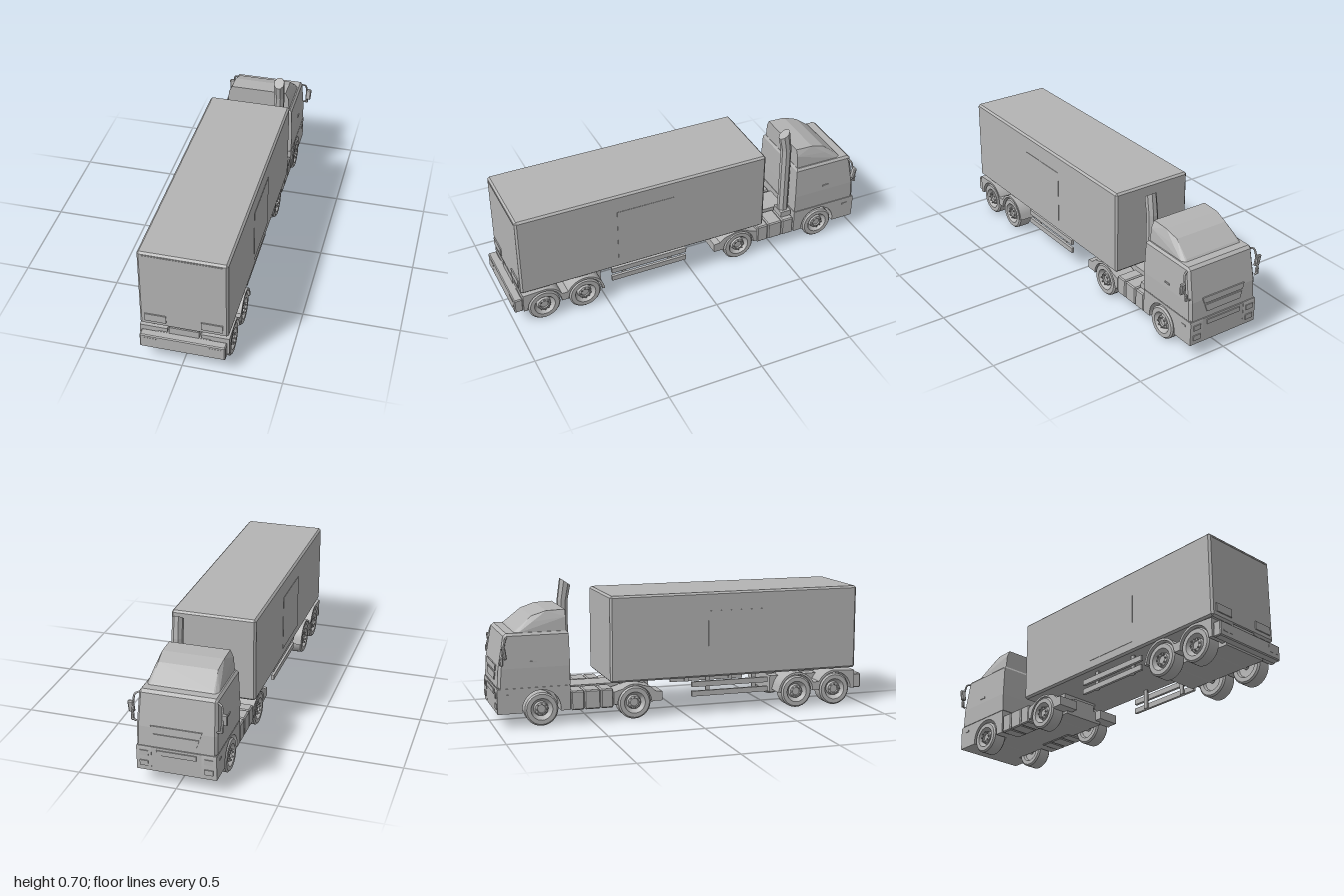
import * as THREE from 'three';
import { toCreasedNormals } from 'three/addons/utils/BufferGeometryUtils.js';
import { ConvexGeometry } from 'three/addons/geometries/ConvexGeometry.js';

const grey = new THREE.MeshStandardMaterial({ color: 0xb4b4b4 });
grey.name = 'plain grey';

function add(parent, name, geometry) {
  const mesh = new THREE.Mesh(geometry, grey);
  mesh.name = name;
  parent.add(mesh);
  return mesh;
}

// Box given by its limits
function box(parent, name, x0, x1, y0, y1, z0, z1) {
  const g = new THREE.BoxGeometry(Math.abs(x1 - x0), y1 - y0, z1 - z0);
  g.translate((x0 + x1) / 2, (y0 + y1) / 2, (z0 + z1) / 2);
  return add(parent, name, g);
}

// Box with chamfered edges
function chamferBox(parent, name, x0, x1, y0, y1, z0, z1, c) {
  const pts = [];
  for (const [x, sx] of [[x0, 1], [x1, -1]])
    for (const [y, sy] of [[y0, 1], [y1, -1]])
      for (const [z, sz] of [[z0, 1], [z1, -1]])
        pts.push(new THREE.Vector3(x, y + sy * c, z + sz * c),
          new THREE.Vector3(x + sx * c, y, z + sz * c),
          new THREE.Vector3(x + sx * c, y + sy * c, z));
  return add(parent, name, new ConvexGeometry(pts));
}

// Convex solid, symmetric in x, from [half width, y, z] points
function hull(parent, name, list) {
  const pts = list.flatMap(([x, y, z]) => [new THREE.Vector3(x, y, z), new THREE.Vector3(-x, y, z)]);
  return add(parent, name, new ConvexGeometry(pts));
}

// Side profile (horizontal axis is -z) extruded from x0 to x1
function sideExtrude(parent, name, shape, x0, x1) {
  const a = Math.min(x0, x1), b = Math.max(x0, x1);
  let g = new THREE.ExtrudeGeometry(shape, { depth: b - a, bevelEnabled: false, curveSegments: 12 });
  g.rotateY(Math.PI / 2).translate(a, 0, 0);
  return add(parent, name, toCreasedNormals(g, 0.5));
}

// Wheel with tyre, dished rim, hub and bolts
const wheelProfile = [[0, -0.02], [0.05, -0.025], [0.056, -0.04], [0.078, -0.04], [0.086, -0.032], [0.086, 0.032],
  [0.078, 0.04], [0.056, 0.04], [0.05, 0.028], [0.038, 0.015], [0.034, 0.032], [0.022, 0.036], [0.02, 0.028], [0, 0.028]]
  .map(([r, a]) => new THREE.Vector2(r, a));
const wheelGeometry = toCreasedNormals(new THREE.LatheGeometry(wheelProfile, 28), 0.5);
const boltGeometry = new THREE.CylinderGeometry(0.004, 0.004, 0.012, 6);

function wheel(parent, name, x, z, side) {
  const g = new THREE.Group();
  g.name = name;
  add(g, 'tyreAndRim', wheelGeometry);
  for (let i = 0; i < 8; i++) {
    const t = i * Math.PI / 4;
    add(g, 'bolt', boltGeometry).position.set(0.028 * Math.cos(t), 0.036, 0.028 * Math.sin(t));
  }
  g.rotation.z = -side * Math.PI / 2;
  g.position.set(x, 0.088, z);
  parent.add(g);
}

function buildTrailer(root) {
  const t = new THREE.Group();
  t.name = 'trailer';
  t.position.x = 0.003;
  root.add(t);
  chamferBox(t, 'cargoBox', -0.22, 0.22, 0.2, 0.647, -0.41, 0.96, 0.01);
  box(t, 'rearDoorRail', -0.2, 0.2, 0.627, 0.631, 0.958, 0.962);
  box(t, 'centreBeam', -0.075, 0.075, 0.16, 0.202, 0.5, 0.96);
  box(t, 'axleBox', -0.13, 0.13, 0.075, 0.165, 0.5, 0.96);
  chamferBox(t, 'rearBumper', -0.214, 0.214, 0.086, 0.164, 0.955, 1, 0.005);

  // Double arch over the two trailer axles
  const arch = new THREE.Shape();
  arch.moveTo(-0.955, 0.09);
  arch.lineTo(-0.955, 0.187);
  arch.absarc(-0.842, 0.09, 0.104, Math.PI / 2, 0.45, true);
  arch.absarc(-0.62, 0.09, 0.104, Math.PI - 0.45, 0.25, true);
  arch.lineTo(-0.512, 0.09);
  arch.lineTo(-0.526, 0.09);
  arch.absarc(-0.62, 0.09, 0.092, 0, Math.PI, false);
  arch.lineTo(-0.75, 0.09);
  arch.absarc(-0.842, 0.09, 0.092, 0, Math.PI, false);

  for (const s of [1, -1]) {
    sideExtrude(t, 'trailerFender', arch, s * 0.085, s * 0.224);
    for (const z of [0.842, 0.62]) wheel(t, 'trailerWheel', s * 0.18, z, s);
    box(t, 'sidePanel', s * 0.218, s * 0.222, 0.25, 0.55, 0.117, 0.43);
    box(t, 'rearLamp', s * 0.131, s * 0.193, 0.113, 0.149, 0.998, 1.001);
    box(t, 'rearPlate', s * 0.087, s * 0.194, 0.229, 0.272, 0.958, 0.966);
    // Side guard
    for (const y of [0.096, 0.146]) box(t, 'guardRail', s * 0.18, s * 0.195, y, y + 0.028, 0.035, 0.46);
    for (const z of [0.115, 0.375]) box(t, 'guardPost', s * 0.17, s * 0.18, 0.096, 0.203, z, z + 0.022);
  }
  for (const z of [0.842, 0.62]) {
    const axle = add(t, 'trailerAxle', new THREE.CylinderGeometry(0.015, 0.015, 0.3, 10));
    axle.rotation.z = Math.PI / 2;
    axle.position.set(0, 0.088, z);
  }
}

function buildCab(root) {
  const c = new THREE.Group();
  c.name = 'cab';
  root.add(c);
  // Upper cab with slanted windscreen and chamfered corners
  hull(c, 'cabUpper', [
    [0.2, 0.207, -0.617], [0.2, 0.207, -0.972], [0.188, 0.207, -0.986],
    [0.201, 0.305, -0.617], [0.201, 0.305, -0.966], [0.188, 0.305, -0.98],
    [0.194, 0.468, -0.62], [0.194, 0.468, -0.937], [0.182, 0.468, -0.951],
    [0.184, 0.481, -0.628], [0.184, 0.481, -0.935]]);
  // Lower cab with wheel arches
  const side = new THREE.Shape();
  side.moveTo(0.617, 0.075);
  side.lineTo(0.617, 0.203);
  side.lineTo(0.987, 0.203);
  side.lineTo(0.99, 0.19);
  side.lineTo(0.988, 0.075);
  side.absarc(0.765, 0.09, 0.099, -0.152, Math.PI + 0.152, false);
  for (const s of [1, -1]) sideExtrude(c, 'cabLowerSide', side, s * 0.125, s * 0.2);
  box(c, 'cabFloor', -0.125, 0.125, 0.075, 0.203, -0.988, -0.617);
  box(c, 'cabSeam', -0.196, 0.196, 0.2, 0.21, -0.982, -0.62);
  // Roof fairing
  hull(c, 'roofFairing', [
    [0.178, 0.478, -0.63], [0.178, 0.478, -0.875], [0.165, 0.478, -0.895],
    [0.172, 0.55, -0.63], [0.155, 0.585, -0.63], [0.155, 0.582, -0.725],
    [0.148, 0.558, -0.8], [0.168, 0.53, -0.8], [0.155, 0.49, -0.885]]);
  // Grille slats, wide at the top
  for (const [y0, y1, w0, w1] of [[0.284, 0.315, 0.118, 0.128], [0.237, 0.274, 0.102, 0.114]]) {
    const z0 = -0.985 + (y0 - 0.207) * 0.06, z1 = -0.985 + (y1 - 0.207) * 0.06;
    hull(c, 'grilleSlat', [[w0, y0, z0 - 0.006], [w1, y1, z1 - 0.006], [w0, y0, z0 + 0.01], [w1, y1, z1 + 0.01]]);
  }
  box(c, 'lowerGrille', -0.1, 0.1, 0.165, 0.19, -0.993, -0.985);
  for (const s of [1, -1]) {
    for (const y of [0.155, 0.1]) box(c, 'headlamp', s * 0.14, s * 0.183, y, y + 0.027, -0.994, -0.98);
    box(c, 'sideLamp', s * 0.198, s * 0.203, 0.165, 0.173, -0.95, -0.92);
    box(c, 'doorHandle', s * 0.196, s * 0.204, 0.33, 0.338, -0.82, -0.785);
    // Mirrors: main head, lower head and bent arm
    const m = chamferBox(c, 'mirrorHead', -0.015, 0.015, -0.032, 0.032, -0.009, 0.009, 0.005);
    m.position.set(s * 0.23, 0.39, -0.955);
    m.rotation.set(-0.15, 0, s * -0.05);
    const low = chamferBox(c, 'lowerMirror', -0.007, 0.007, -0.018, 0.018, -0.008, 0.008, 0.003);
    low.position.set(s * 0.219, 0.343, -0.968);
    const path = new THREE.CatmullRomCurve3([[0.19, 0.462, -0.935], [0.212, 0.455, -0.945], [0.22, 0.4, -0.958],
      [0.218, 0.335, -0.972], [0.198, 0.326, -0.972]].map(([x, y, z]) => new THREE.Vector3(s * x, y, z)));
    add(c, 'mirrorArm', new THREE.TubeGeometry(path, 14, 0.005, 6));
    wheel(c, 'frontWheel', s * 0.162, -0.765, s);
  }
}

function buildChassis(root) {
  const c = new THREE.Group();
  c.name = 'tractorChassis';
  root.add(c);
  box(c, 'frame', -0.07, 0.07, 0.085, 0.172, -0.63, -0.17);
  box(c, 'underTray', -0.12, 0.12, 0.075, 0.14, -0.63, -0.17);
  box(c, 'couplingPlate', -0.11, 0.11, 0.172, 0.202, -0.335, -0.2);
  // Rear fender with a tail lamp block
  const arch = new THREE.Shape();
  arch.moveTo(0.13, 0.09);
  arch.lineTo(0.13, 0.138);
  arch.lineTo(0.165, 0.142);
  arch.lineTo(0.19, 0.165);
  arch.absarc(0.278, 0.085, 0.101, 2.0, 0.9, true);
  arch.lineTo(0.39, 0.15);
  arch.lineTo(0.39, 0.085);
  arch.lineTo(0.368, 0.085);
  arch.absarc(0.278, 0.085, 0.091, 0, Math.PI, false);
  arch.lineTo(0.175, 0.09);
  for (const s of [1, -1]) {
    sideExtrude(c, 'rearFender', arch, s * 0.085, s * 0.2);
    wheel(c, 'driveWheel', s * 0.16, -0.278, s);
    // Side tank in three sections
    for (const [z0, z1] of [[-0.457, -0.392], [-0.542, -0.459], [-0.612, -0.544]])
      chamferBox(c, 'sideTank', Math.min(s * 0.085, s * 0.2), Math.max(s * 0.085, s * 0.2), 0.07, 0.17, z0, z1, 0.006);
  }
  for (const z of [-0.278, -0.765]) {
    const axle = add(c, 'axle', new THREE.CylinderGeometry(0.015, 0.015, 0.28, 10));
    axle.rotation.z = Math.PI / 2;
    axle.position.set(0, 0.088, z);
  }
  // Exhaust stack: bent back at the top with a slanted end
  let g = new THREE.CylinderGeometry(0.029, 0.029, 2, 8, 2, false, Math.PI / 8);
  const p = g.attributes.position;
  for (let i = 0; i < p.count; i++) {
    const level = Math.round(p.getY(i)), z = p.getZ(i);
    p.setY(i, level < 0 ? 0.2 : level === 0 ? 0.59 : 0.688 - z * 0.7);
    p.setZ(i, z - 0.58 + (level > 0 ? 0.016 : 0));
  }
  g = g.toNonIndexed();
  g.computeVertexNormals();
  add(c, 'exhaustStack', g).position.x = 0.13;
  box(c, 'exhaustBase', 0.09, 0.17, 0.165, 0.203, -0.61, -0.55);
}

export function createModel() {
  const root = new THREE.Group();
  root.name = 'articulatedTruck';
  buildTrailer(root);
  buildCab(root);
  buildChassis(root);
  return root;
}
